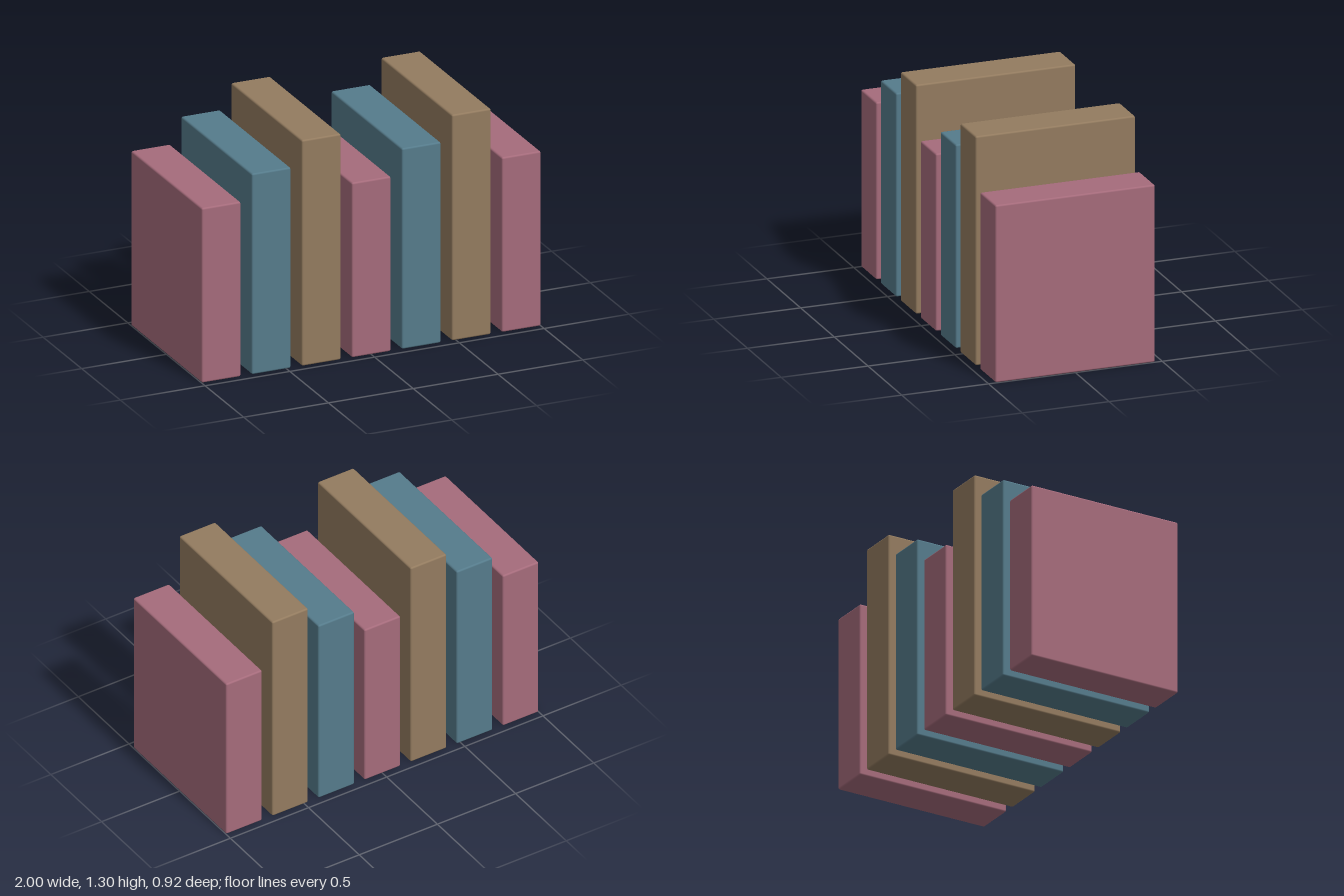
import * as THREE from 'three';
import { RoundedBoxGeometry } from 'three/addons/geometries/RoundedBoxGeometry.js';

const WIDTH = 0.23, DEPTH = 0.92, SPACING = 0.295, COUNT = 7, BEVEL = 0.01;

export function createModel() {
  const group = new THREE.Group();
  group.name = 'bookRow';

  // Three book kinds, repeated along the row
  const kinds = [
    { name: 'rose', color: 0xa56b7b, height: 1.01 },
    { name: 'teal', color: 0x557b8b, height: 1.16 },
    { name: 'tan', color: 0x937b5f, height: 1.305 },
  ].map(({ name, color, height }) => {
    const material = new THREE.MeshStandardMaterial({ color });
    material.name = name;
    const geometry = new RoundedBoxGeometry(WIDTH, height, DEPTH, 2, BEVEL);
    geometry.translate(0, height / 2, 0);
    return { name, geometry, material };
  });

  // Evenly spaced upright books, centred on x = 0
  for (let i = 0; i < COUNT; i++) {
    const { name, geometry, material } = kinds[i % kinds.length];
    const book = new THREE.Mesh(geometry, material);
    book.name = `${name}Book${i + 1}`;
    book.position.x = (i - (COUNT - 1) / 2) * SPACING;
    group.add(book);
  }
  return group;
}
